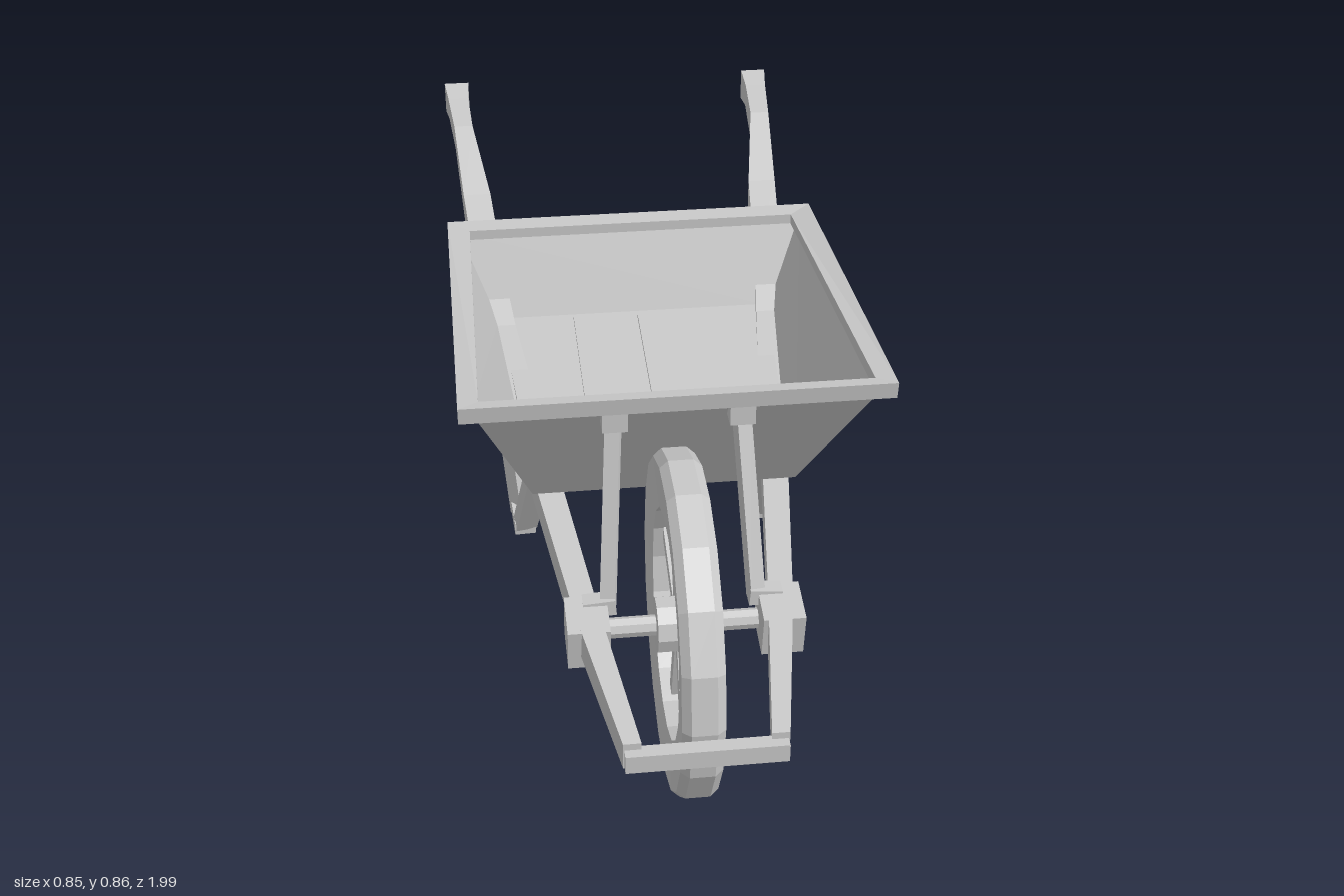
import * as THREE from 'three';

const metal = new THREE.MeshStandardMaterial({ color: 0xc8c8c8, side: THREE.DoubleSide, flatShading: true });
metal.name = 'light grey';

const V = (x, y, z) => new THREE.Vector3(x, y, z);

function add(parent, name, geometry) {
  const mesh = new THREE.Mesh(geometry, metal);
  mesh.name = name;
  parent.add(mesh);
  return mesh;
}

// Skin a list of four-cornered rings, optionally capping both ends
function loft(rings, capped = true) {
  const pos = rings.flat().flatMap((p) => [p.x, p.y, p.z]);
  const index = [];
  for (let r = 0; r < rings.length - 1; r++) {
    for (let i = 0; i < 4; i++) {
      const a = r * 4 + i, b = r * 4 + (i + 1) % 4;
      index.push(a, b, b + 4, a, b + 4, a + 4);
    }
  }
  if (capped) {
    const e = (rings.length - 1) * 4;
    index.push(0, 2, 1, 0, 3, 2, e, e + 1, e + 2, e, e + 2, e + 3);
  }
  const g = new THREE.BufferGeometry();
  g.setAttribute('position', new THREE.Float32BufferAttribute(pos, 3));
  g.setIndex(index);
  const flat = g.toNonIndexed();
  flat.computeVertexNormals();
  return flat;
}

// Rectangular bar between two points; w runs sideways, h across it
function bar(parent, name, a, b, w, h) {
  const mesh = add(parent, name, new THREE.BoxGeometry(w, h, a.distanceTo(b)));
  mesh.position.copy(a).add(b).multiplyScalar(0.5);
  mesh.lookAt(b);
  return mesh;
}

// Rectangle lying in a sloping tray level: half widths and heights at front and back
const level = (xf, yf, zf, xb, yb, zb) => [V(-xf, yf, zf), V(xf, yf, zf), V(xb, yb, zb), V(-xb, yb, zb)];

function buildTray() {
  const tray = new THREE.Group();
  tray.name = 'tray';
  const base = level(0.28, 0.495, 0.31, 0.32, 0.565, -0.3);
  const top = level(0.4, 0.85, 0.53, 0.4, 0.76, -0.38);
  add(tray, 'trayWalls', loft([base, top], false));
  // Floor slab
  add(tray, 'trayFloor', loft([
    level(0.275, 0.495, 0.3, 0.315, 0.555, -0.3),
    level(0.275, 0.51, 0.3, 0.315, 0.57, -0.3),
  ]));
  // Floor planks
  for (const x of [-0.075, 0.075]) {
    bar(tray, 'floorPlank', V(x, 0.515, 0.27), V(x, 0.57, -0.28), 0.14, 0.012);
  }
  // Folded rim around the mouth
  add(tray, 'trayRim', loft([
    level(0.385, 0.84, 0.515, 0.375, 0.752, -0.355),
    level(0.425, 0.835, 0.545, 0.425, 0.748, -0.4),
    level(0.425, 0.872, 0.55, 0.425, 0.778, -0.4),
    level(0.385, 0.868, 0.52, 0.375, 0.775, -0.355),
    level(0.385, 0.84, 0.515, 0.375, 0.752, -0.355),
  ], false));
  return tray;
}

function buildWheel() {
  const wheel = new THREE.Group();
  wheel.name = 'wheel';
  // Tyre: rectangular section turned about the axle
  const profile = [[0.245, -0.035], [0.35, -0.042], [0.365, -0.025], [0.365, 0.025],
    [0.35, 0.042], [0.245, 0.035], [0.245, -0.035]].map(([r, y]) => new THREE.Vector2(r, y));
  add(wheel, 'tyre', new THREE.LatheGeometry(profile, 18).rotateZ(Math.PI / 2));
  // Spokes
  for (let i = 0; i < 8; i++) {
    const a = (i / 8) * Math.PI * 2 + 0.3;
    bar(wheel, 'spoke', V(0, 0, 0), V(0, Math.cos(a) * 0.26, Math.sin(a) * 0.26), 0.03, 0.03);
  }
  add(wheel, 'hub', new THREE.CylinderGeometry(0.06, 0.06, 0.11, 10).rotateZ(Math.PI / 2));
  add(wheel, 'axle', new THREE.CylinderGeometry(0.022, 0.022, 0.42, 8).rotateZ(Math.PI / 2));
  wheel.position.set(0, 0.373, 0.62);
  wheel.scale.z = 0.92;
  return wheel;
}

function buildSide(s) {
  const side = new THREE.Group();
  side.name = s > 0 ? 'leftSide' : 'rightSide';
  // Long rail rising into the handle: x, y, z, width, height
  const rail = [
    [0.14, 0.36, 0.98, 0.035, 0.06],
    [0.195, 0.4, 0.64, 0.05, 0.07],
    [0.28, 0.5, 0, 0.06, 0.06],
    [0.315, 0.55, -0.25, 0.065, 0.06],
    [0.33, 0.595, -0.37, 0.065, 0.08],
    [0.35, 0.7, -0.62, 0.065, 0.07],
    [0.372, 0.8, -0.81, 0.045, 0.06],
    [0.38, 0.825, -0.93, 0.05, 0.055],
    [0.382, 0.83, -0.99, 0.06, 0.075],
  ].map(([x, y, z, w, h]) => [[-1, -1], [1, -1], [1, 1], [-1, 1]]
    .map(([i, j]) => V(s * x + i * w / 2, y + j * h / 2, z)));
  add(side, 'railAndHandle', loft(rail.reverse()));

  // Bent leg: front strut, foot and rear strut
  bar(side, 'frontStrut', V(s * 0.245, 0.47, 0.11), V(s * 0.285, 0.12, -0.1), 0.05, 0.035);
  bar(side, 'foot', V(s * 0.285, 0.115, -0.085), V(s * 0.29, 0.125, -0.18), 0.05, 0.035);
  bar(side, 'rearStrut', V(s * 0.29, 0.11, -0.165), V(s * 0.325, 0.54, -0.2), 0.04, 0.035);
  bar(side, 'legBrace', V(s * 0.325, 0.57, -0.3), V(s * 0.32, 0.49, -0.2), 0.025, 0.03);

  // Axle bracket clamped on the rail
  const bracket = add(side, 'axleBracket', new THREE.BoxGeometry(0.085, 0.1, 0.1));
  bracket.position.set(s * 0.195, 0.385, 0.64);
  bracket.rotation.x = 0.15;

  // Stay holding up the front of the tray
  bar(side, 'trayStay', V(s * 0.15, 0.42, 0.61), V(s * 0.125, 0.815, 0.505), 0.03, 0.03);
  const cap = add(side, 'stayCap', new THREE.BoxGeometry(0.05, 0.045, 0.05));
  cap.position.set(s * 0.125, 0.81, 0.51);
  bar(side, 'stayFoot', V(s * 0.2, 0.425, 0.61), V(s * 0.135, 0.43, 0.61), 0.035, 0.035);
  return side;
}

export function createModel() {
  const model = new THREE.Group();
  model.name = 'wheelbarrow';
  model.add(buildTray(), buildWheel(), buildSide(1), buildSide(-1));
  // Bars across the frame
  bar(model, 'frontCrossbar', V(-0.155, 0.355, 0.985), V(0.155, 0.355, 0.985), 0.03, 0.04);
  bar(model, 'strutCrossbar', V(-0.26, 0.455, 0.13), V(0.26, 0.455, 0.13), 0.03, 0.03);
  bar(model, 'legCrossbar', V(-0.31, 0.37, -0.185), V(0.31, 0.37, -0.185), 0.03, 0.035);
  return model;
}
